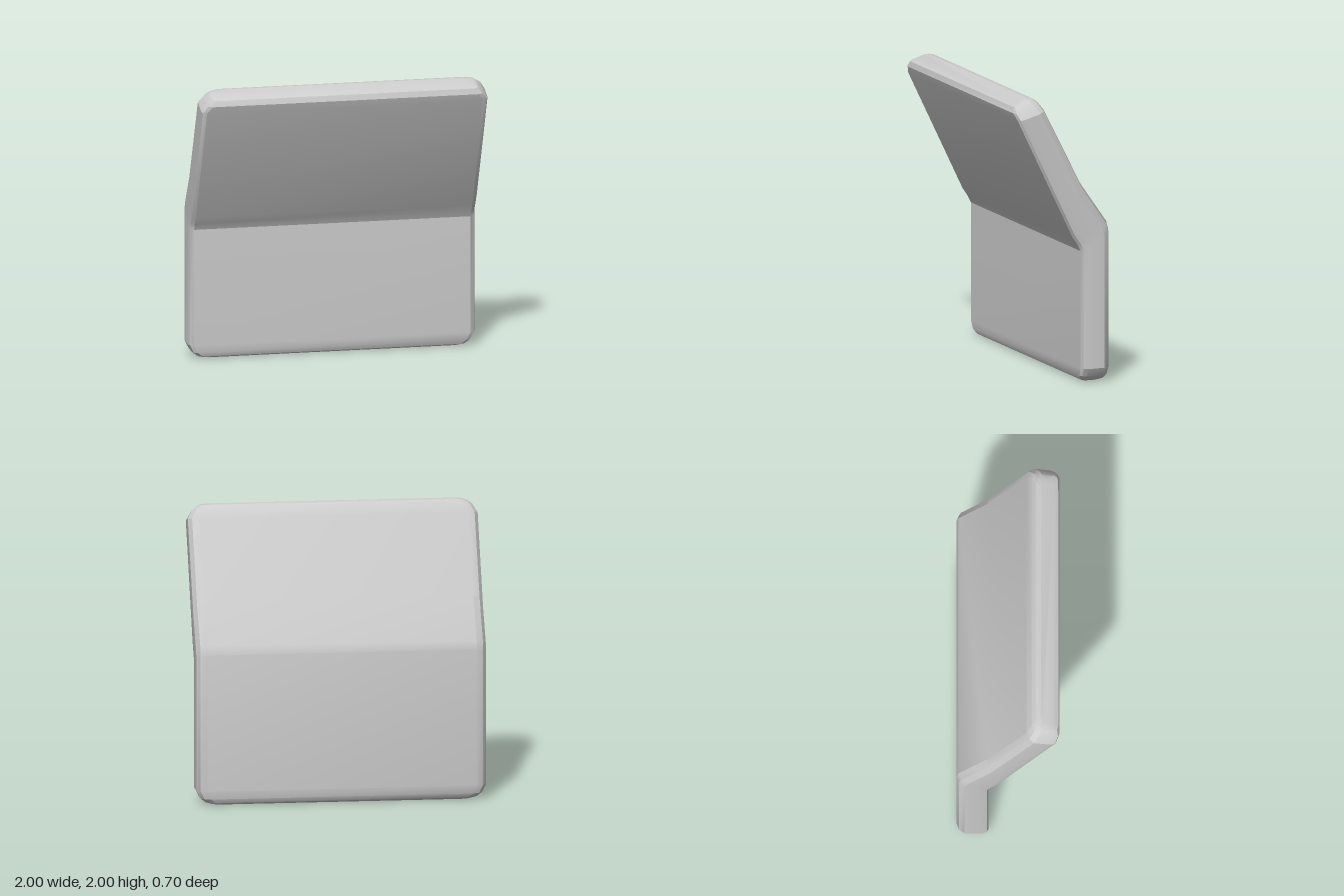
import * as THREE from 'three';
import { toCreasedNormals } from 'three/addons/utils/BufferGeometryUtils.js';

// Sections from bottom to top: front z, front y, back z, back y, half width
const SECTIONS = [
  [-0.18, 0, -0.3, 0, 0.89],
  [-0.148, 0.015, -0.332, 0.015, 0.935],
  [-0.134, 0.045, -0.347, 0.045, 0.972],
  [-0.13, 0.1, -0.35, 0.1, 1],
  [-0.13, 0.92, -0.35, 1.05, 1],
  [-0.108, 0.965, -0.335, 1.11, 1],
  [-0.07, 1.02, -0.14, 1.39, 1],
  [0.336, 1.86, 0.13, 1.92, 1],
  [0.355, 1.91, 0.168, 1.976, 0.965],
  [0.347, 1.95, 0.195, 1.996, 0.93],
  [0.325, 1.964, 0.23, 2, 0.9],
];

// Rounded side edge: fraction from front to back, inset from the side
const EDGE = [[0, 0.035], [0.06, 0.01], [0.2, 0], [0.75, 0], [0.92, 0.025], [1, 0.07]];

function bentPanelGeometry() {
  const positions = [];
  const indices = [];
  const n = EDGE.length * 2;
  for (const [fz, fy, bz, by, w] of SECTIONS) {
    const point = ([t, inset], side) =>
      positions.push(side * (w - inset), fy + (by - fy) * t, fz + (bz - fz) * t);
    EDGE.forEach((e) => point(e, 1));
    [...EDGE].reverse().forEach((e) => point(e, -1));
  }
  // Skin between neighbouring sections
  for (let i = 0; i < SECTIONS.length - 1; i++) {
    for (let j = 0; j < n; j++) {
      const a = i * n + j;
      const b = i * n + (j + 1) % n;
      indices.push(a, b, b + n, a, b + n, a + n);
    }
  }
  // Bottom and top caps
  const top = (SECTIONS.length - 1) * n;
  for (let j = 1; j < n - 1; j++) {
    indices.push(0, j + 1, j);
    indices.push(top, top + j, top + j + 1);
  }
  const geometry = new THREE.BufferGeometry();
  geometry.setAttribute('position', new THREE.Float32BufferAttribute(positions, 3));
  geometry.setIndex(indices);
  return toCreasedNormals(geometry, 0.42);
}

export function createModel() {
  const group = new THREE.Group();
  group.name = 'bentCushion';
  const panel = new THREE.Mesh(
    bentPanelGeometry(),
    new THREE.MeshStandardMaterial({ color: 0xcccccc })
  );
  panel.name = 'bentPanel';
  group.add(panel);
  return group;
}
